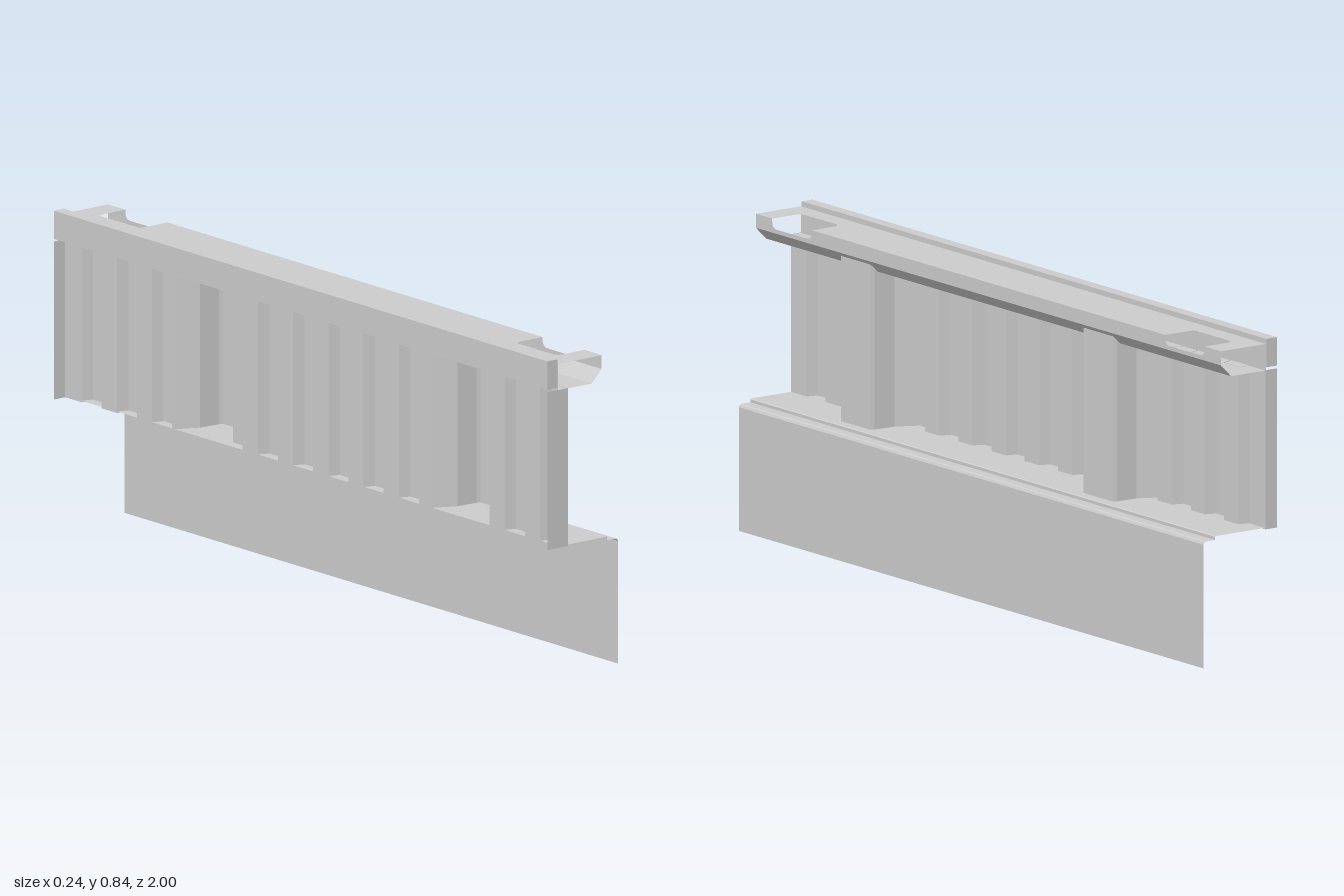
import * as THREE from 'three';

const sheet = new THREE.MeshStandardMaterial({ color: 0xcccccc, side: THREE.DoubleSide, flatShading: true });
const solid = new THREE.MeshStandardMaterial({ color: 0xcccccc, flatShading: true });

// Thin folded sheet: joins two matching rows of points
function ribbon(a, b) {
  const pos = [];
  for (let i = 0; i < a.length - 1; i++) {
    pos.push(...a[i], ...b[i], ...b[i + 1], ...a[i], ...b[i + 1], ...a[i + 1]);
  }
  const g = new THREE.BufferGeometry();
  g.setAttribute('position', new THREE.Float32BufferAttribute(pos, 3));
  g.computeVertexNormals();
  return g;
}

// Sweeps an [x, y] profile along the full length
const sweep = (pts) => ribbon(pts.map(([x, y]) => [x, y, 1]), pts.map(([x, y]) => [x, y, -1]));

// Flat strip along z with two rounded notches cut into its far edge
function notchedStrip(width, depth, r) {
  const s = new THREE.Shape();
  const v = width - depth;
  s.moveTo(-1, 0);
  s.lineTo(1, 0);
  s.lineTo(1, width);
  for (const [hi, lo] of [[0.93, 0.76], [-0.76, -0.93]]) {
    s.lineTo(hi, width);
    s.lineTo(hi, v + r);
    s.quadraticCurveTo(hi, v, hi - r, v);
    s.lineTo(lo + r, v);
    s.quadraticCurveTo(lo, v, lo, v + r);
    s.lineTo(lo, width);
  }
  s.lineTo(-1, width);
  return new THREE.ShapeGeometry(s, 6);
}

// Plan outline [x, z] of the corrugated wall, with two deep pillars
function wallPlan() {
  const crest = -0.05, valley = -0.08, n = 28, slope = 0.005;
  const pillars = [0.587, -0.456], half = 0.1;
  const wave = (z) => (Math.floor((1 - z) * n / 2) % 2 ? valley : crest);
  let pts = [];
  for (let i = 0; i < n; i++) {
    const x = i % 2 ? valley : crest;
    pts.push([x, 1 - (2 * i) / n - (i ? slope : 0)]);
    pts.push([x, 1 - (2 * (i + 1)) / n + (i < n - 1 ? slope : 0)]);
  }
  for (const c of pillars) {
    pts = pts.filter(([, z]) => Math.abs(z - c) > half);
    const side = [[-0.02, 0.071], [0.04, 0.067], [0.051, 0.063]];
    const bump = [
      [wave(c + half), c + half],
      ...side.map(([x, d]) => [x, c + d]),
      ...side.reverse().map(([x, d]) => [x, c - d]),
      [wave(c - half), c - half],
    ];
    const at = pts.findIndex(([, z]) => z < c);
    pts.splice(at, 0, ...bump);
  }
  // Flat end flanges
  return [[-0.118, 1], ...pts, [-0.118, -1]];
}

export function createModel() {
  const group = new THREE.Group();
  const add = (name, geometry, material = sheet) => {
    const mesh = new THREE.Mesh(geometry, material);
    mesh.name = name;
    group.add(mesh);
    return mesh;
  };

  // Floor ledge, small step and hanging skirt
  add('floorAndSkirt', sweep([
    [-0.08, 0.344], [0.078, 0.344], [0.081, 0.342], [0.081, 0.334],
    [0.109, 0.334], [0.115, 0.332], [0.118, 0.326], [0.118, 0],
  ]));

  // Corrugated wall; pillar tops follow the rail's sloped underside
  const plan = wallPlan();
  add('corrugatedWall', ribbon(
    plan.map(([x, z]) => [x, 0.76 + Math.max(0, x - 0.03), z]),
    plan.map(([x, z]) => [x, 0.34, z]),
  ));

  // Hollow top rail, open at both ends
  const left = -0.082, right = 0.063, top = 0.829;
  add('railUnderside', sweep([[left, top], [left, 0.759], [0.03, 0.759], [right, 0.792]]));

  const railTop = notchedStrip(right - left, 0.092, 0.02);
  railTop.applyMatrix4(new THREE.Matrix4().makeBasis(
    new THREE.Vector3(0, 0, 1), new THREE.Vector3(1, 0, 0), new THREE.Vector3(0, 1, 0),
  ).setPosition(left, top, 0));
  add('railTop', railTop);

  const railSide = notchedStrip(top - 0.792, 0.026, 0.02);
  railSide.applyMatrix4(new THREE.Matrix4().makeBasis(
    new THREE.Vector3(0, 0, -1), new THREE.Vector3(0, 1, 0), new THREE.Vector3(1, 0, 0),
  ).setPosition(right, 0.792, 0));
  add('railSide', railSide);

  // Outer bar along the top edge
  add('outerBar', new THREE.BoxGeometry(0.034, 0.075, 2), solid).position.set(-0.101, 0.8045, 0);

  return group;
}
